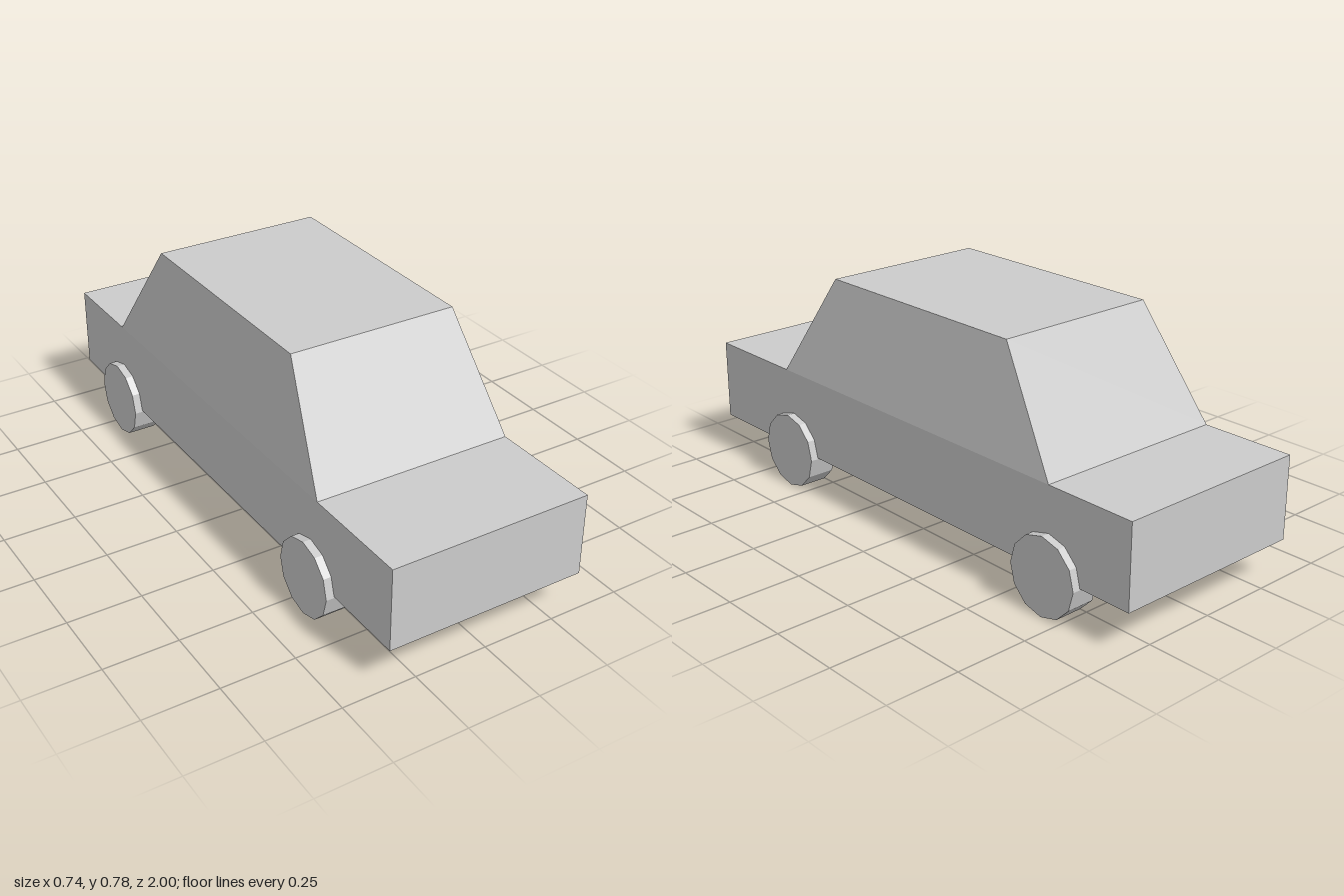
import * as THREE from 'three';

const material = new THREE.MeshStandardMaterial({ color: 0xcccccc, flatShading: true });

// Side profile of the shell: [half width, y, z], from front bottom over the roof to rear bottom
const profile = [
  [0.344, 0.134, 1], [0.344, 0.414, 1],
  [0.344, 0.414, 0.617], [0.291, 0.778, 0.385],
  [0.291, 0.778, -0.44], [0.344, 0.414, -0.677],
  [0.344, 0.414, -1], [0.344, 0.134, -1],
];

// Flank triangles: lower body, then the cabin side that leans inward
const flank = [[0, 7, 6], [0, 6, 5], [0, 5, 2], [0, 2, 1], [2, 5, 4], [2, 4, 3]];

function createBodyGeometry() {
  const positions = [];
  const left = (i) => profile[i];
  const right = (i) => [-profile[i][0], profile[i][1], profile[i][2]];
  const triangle = (a, b, c) => positions.push(...a, ...b, ...c);

  // Panels running across the car: nose, hood, windshield, roof, rear window, trunk, tail, floor
  for (let i = 0; i < profile.length; i++) {
    const j = (i + 1) % profile.length;
    triangle(left(i), left(j), right(j));
    triangle(left(i), right(j), right(i));
  }

  // Mirrored flanks
  for (const [a, b, c] of flank) {
    triangle(left(a), left(b), left(c));
    triangle(right(a), right(c), right(b));
  }

  const geometry = new THREE.BufferGeometry();
  geometry.setAttribute('position', new THREE.Float32BufferAttribute(positions, 3));
  geometry.computeVertexNormals();
  return geometry;
}

export function createModel() {
  const car = new THREE.Group();
  car.name = 'car';

  const body = new THREE.Mesh(createBodyGeometry(), material);
  body.name = 'body';
  car.add(body);

  // Four twelve-sided wheels with a corner at the bottom
  const radius = 0.131;
  const wheelGeometry = new THREE.CylinderGeometry(radius, radius, 0.097, 12);
  wheelGeometry.rotateZ(Math.PI / 2);
  for (const [end, z] of [['front', 0.582], ['rear', -0.681]]) {
    for (const [side, sign] of [['Left', 1], ['Right', -1]]) {
      const wheel = new THREE.Mesh(wheelGeometry, material);
      wheel.name = `${end}${side}Wheel`;
      wheel.position.set(sign * 0.323, radius, z);
      car.add(wheel);
    }
  }
  return car;
}
